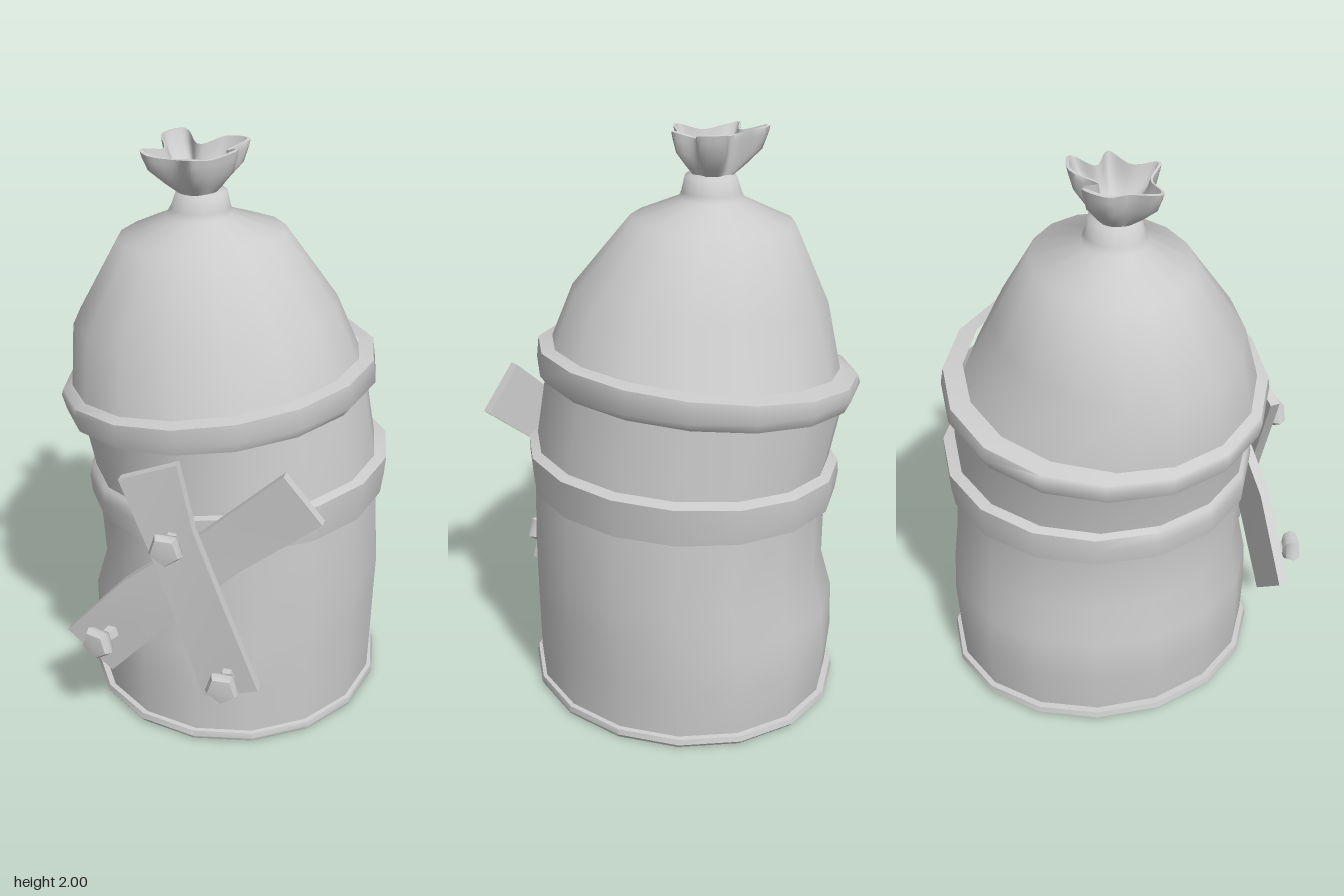
import * as THREE from 'three';
import { toCreasedNormals } from 'three/addons/utils/BufferGeometryUtils.js';

const V = (x, y, z) => new THREE.Vector3(x, y, z);
const SIDES = 16;

// Skin a list of closed rings; faces point along (advance x ring direction)
function loft(rings, crease = 0.7) {
  const n = rings[0].length;
  const index = [];
  for (let i = 0; i < rings.length - 1; i++) {
    for (let j = 0; j < n; j++) {
      const a = i * n + j, b = i * n + ((j + 1) % n);
      index.push(a, a + n, b, b, a + n, b + n);
    }
  }
  const geo = new THREE.BufferGeometry().setFromPoints(rings.flat());
  geo.setIndex(index);
  return toCreasedNormals(geo, crease);
}

// Tilted ellipse given by its left, right, front and back extents
function hoop([xL, yL, xR, yR, zF, zB]) {
  return Array.from({ length: SIDES }, (_, j) => {
    const a = (j / SIDES) * Math.PI * 2, c = Math.cos(a);
    return V(
      (xL + xR) / 2 + ((xR - xL) / 2) * c,
      (yL + yR) / 2 + ((yR - yL) / 2) * c,
      (zF + zB) / 2 + ((zF - zB) / 2) * Math.sin(a)
    );
  });
}

// Board from stations [left x, left y, right x, right y, z]
function plank(stations, thick = 0.036) {
  const h = thick / 2;
  const rings = stations.map(([lx, ly, rx, ry, z]) => [
    V(rx, ry, z + h), V(lx, ly, z + h), V(lx, ly, z - h), V(rx, ry, z - h)
  ]);
  const cap = (ring) => {
    const mid = ring.reduce((s, p) => s.add(p), V(0, 0, 0)).multiplyScalar(0.25);
    return ring.map(() => mid);
  };
  return loft([cap(rings[0]), ...rings, cap(rings[rings.length - 1])], 0.6);
}

export function createModel() {
  const group = new THREE.Group();
  const mat = new THREE.MeshStandardMaterial({ color: 0xcccccc });
  const open = new THREE.MeshStandardMaterial({ color: 0xcccccc, side: THREE.DoubleSide });
  const add = (name, geo, m = mat) => {
    const mesh = new THREE.Mesh(geo, m);
    mesh.name = name;
    group.add(mesh);
    return mesh;
  };

  // Barrel body with closed floor
  add('body', loft([
    [-0.46, 0.02, 0.55, 0.02, 0.48, -0.62],
    [-0.475, 0.2, 0.555, 0.2, 0.485, -0.635],
    [-0.477, 0.36, 0.56, 0.36, 0.48, -0.625],
    [-0.437, 0.5, 0.565, 0.5, 0.46, -0.6],
    [-0.45, 0.75, 0.55, 0.78, 0.47, -0.59],
    [-0.465, 0.86, 0.54, 0.92, 0.46, -0.59],
    [-0.52, 1.08, 0.49, 1.19, 0.46, -0.61]
  ].map(hoop), 1.2), open);

  // Thin flange around the foot
  add('baseRim', loft([
    [0.04, 0, 0.04, 0, -0.07, -0.07],
    [-0.48, 0.012, 0.565, 0, 0.495, -0.635],
    [-0.49, 0.022, 0.57, 0.012, 0.5, -0.645],
    [-0.485, 0.042, 0.565, 0.03, 0.495, -0.64],
    [-0.45, 0.045, 0.54, 0.035, 0.47, -0.61]
  ].map(hoop)));

  // Raised band around the middle
  add('middleBand', loft([
    [-0.44, 0.745, 0.54, 0.775, 0.45, -0.58],
    [-0.482, 0.738, 0.565, 0.775, 0.475, -0.62],
    [-0.49, 0.8, 0.575, 0.85, 0.48, -0.63],
    [-0.485, 0.842, 0.58, 0.915, 0.475, -0.63],
    [-0.45, 0.86, 0.53, 0.925, 0.45, -0.58]
  ].map(hoop), 1.0));

  // Slanted rolled edge under the cloth cover
  add('upperBand', loft([
    [-0.5, 1.07, 0.47, 1.18, 0.45, -0.58],
    [-0.563, 1.055, 0.505, 1.17, 0.485, -0.615],
    [-0.583, 1.11, 0.53, 1.2, 0.495, -0.64],
    [-0.575, 1.13, 0.52, 1.28, 0.49, -0.63],
    [-0.53, 1.15, 0.47, 1.285, 0.44, -0.56]
  ].map(hoop), 1.0));

  // Lopsided cloth dome gathered into a neck
  add('cover', loft([
    [-0.54, 1.12, 0.48, 1.25, 0.455, -0.56],
    [-0.53, 1.37, 0.395, 1.46, 0.375, -0.455],
    [-0.38, 1.66, 0.2, 1.7, 0.19, -0.34],
    [-0.21, 1.745, 0.02, 1.755, 0.045, -0.175],
    [-0.195, 1.77, 0.012, 1.775, 0.035, -0.165],
    [-0.175, 1.825, 0, 1.83, 0.02, -0.15],
    [-0.14, 1.838, -0.04, 1.838, -0.02, -0.12]
  ].map(hoop), 1.2), open);

  // Ruffled tuft: five lobes as [degrees, radius, height]
  const lobes = [
    [12, 0.155, 1.985], [48, 0.115, 1.96], [80, 0.165, 1.975], [112, 0.11, 1.955],
    [148, 0.175, 1.96], [161, 0.19, 1.97], [185, 0.12, 1.96], [213, 0.185, 1.985],
    [240, 0.18, 1.995], [258, 0.075, 1.965], [297, 0.15, 1.985], [328, 0.185, 1.99],
    [345, 0.105, 1.965]
  ];
  const rim = new THREE.CatmullRomCurve3(lobes.map(([d, r, y]) => {
    const a = THREE.MathUtils.degToRad(d);
    return V(r * Math.cos(a), y, r * Math.sin(a));
  }), true);
  const COUNT = 60;
  const ruffle = ([spread, rise, shrink]) => Array.from({ length: COUNT }, (_, j) => {
    const p = rim.getPoint(j / COUNT);
    const a = Math.atan2(p.z, p.x);
    const x = THREE.MathUtils.lerp(0.065 * Math.cos(a), p.x, spread) * shrink;
    const z = THREE.MathUtils.lerp(0.065 * Math.sin(a), p.z, spread) * shrink;
    return V(x - 0.1, Math.min(2, 1.825 + (p.y - 1.825) * rise), z - 0.06);
  });
  add('tuft', loft([
    [0, 0, 1], [0.35, 0.22, 1], [0.8, 0.55, 1], [0.95, 0.85, 1], [1, 1, 1],
    [1, 1.01, 0.93], [0.9, 0.8, 0.9], [0.7, 0.55, 0.85], [0.3, 0.3, 0.75], [0, 0.15, 0]
  ].map(ruffle), 1.0), open);

  // Two crossed boards
  add('backPlank', plank([
    [-0.42, 0.37, -0.26, 0.23, 0.465],
    [-0.2, 0.62, -0.01, 0.51, 0.49],
    [0.09, 0.86, 0.2, 0.72, 0.485],
    [0.35, 1.105, 0.48, 0.95, 0.495]
  ]));
  add('frontPlank', plank([
    [0.09, 0.22, 0.28, 0.28, 0.512],
    [0.02, 0.45, 0.165, 0.6, 0.53],
    [-0.06, 0.7, 0.06, 0.88, 0.53],
    [-0.2, 1.02, 0, 1.1, 0.505]
  ]));

  // Five-sided mushroom nails: position, sideways lean
  const nail = toCreasedNormals(new THREE.LatheGeometry([
    [0.026, 0], [0.022, 0.05], [0.05, 0.06], [0.062, 0.085], [0.05, 0.108], [0, 0.115]
  ].map(([r, y]) => new THREE.Vector2(r, y)), 5), 0.8);
  [[-0.01, 0.84, 0.53, 0], [-0.25, 0.4, 0.492, -0.3], [0.175, 0.335, 0.53, 0.05]]
    .forEach(([x, y, z, lean]) => {
      const mesh = add('nail', nail);
      mesh.position.set(x, y, z);
      mesh.rotation.set(Math.PI / 2, 0, -lean);
    });

  return group;
}
